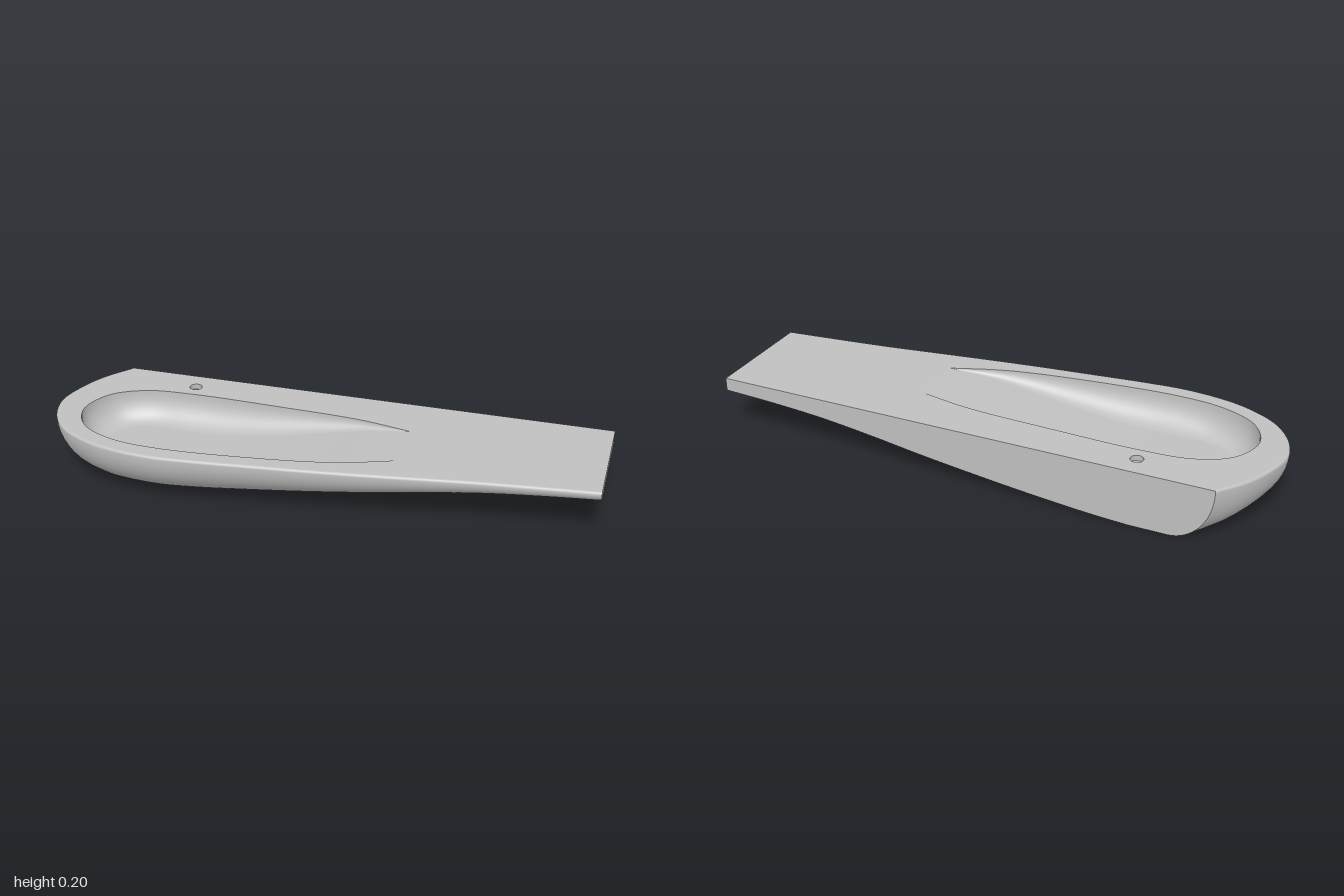
import * as THREE from 'three';

const TOP = 0.205, BACK = -0.315;
const V = (x, y, z) => new THREE.Vector3(x, y, z);

// Smooth height curves along x
const curve = (xs, ys) => {
  const c = new THREE.CubicInterpolant(xs, ys, 1);
  return (x) => c.evaluate(THREE.MathUtils.clamp(x, xs[0], xs[xs.length - 1]))[0];
};
const bottomY = curve([-0.7, -0.55, -0.4, -0.2, 0, 0.2, 0.4, 0.6, 0.8, 1],
  [0, 0.001, 0.01, 0.029, 0.052, 0.078, 0.108, 0.133, 0.148, 0.157]);
const scoopDepth = curve([-0.6, -0.4, -0.2, 0, 0.15, 0.3], [0.11, 0.107, 0.085, 0.052, 0.025, 0]);

// Smooth path through [x, z] points
const path = (pts, n) => new THREE.CatmullRomCurve3(
  pts.map(([x, z]) => V(x, 0, z)), false, 'centripetal').getPoints(n);

// Smooth sheet from rows of points
function sheet(rows) {
  const cols = rows[0].length, index = [];
  for (let i = 0; i < rows.length - 1; i++) {
    for (let j = 0; j < cols - 1; j++) {
      const a = i * cols + j, b = a + cols;
      index.push(a, a + 1, b, b, a + 1, b + 1);
    }
  }
  const g = new THREE.BufferGeometry().setFromPoints(rows.flat());
  g.setIndex(index);
  g.computeVertexNormals();
  return g;
}

export function createModel() {
  const group = new THREE.Group();
  const grey = new THREE.MeshStandardMaterial({ color: 0xc0c0c0, side: THREE.DoubleSide });
  grey.name = 'light grey';
  const add = (name, geometry) => {
    const m = new THREE.Mesh(geometry, grey);
    m.name = name;
    group.add(m);
    return m;
  };

  // Rounded side: outline from the back corner, round the nose, to the tail
  const outline = path([[-0.85, BACK], [-0.93, -0.21], [-0.98, -0.1], [-1, 0], [-0.97, 0.11],
    [-0.9, 0.2], [-0.8, 0.26], [-0.7, 0.292], [-0.55, 0.31], [-0.4, 0.302], [-0.2, 0.28],
    [0, 0.257], [0.2, 0.23], [0.4, 0.2], [0.6, 0.17], [0.8, 0.146], [1, 0.124]], 120);
  const F = 0.01;
  const hull = outline.map((p) => {
    const dir = p.x > -0.55 ? V(0, 0, -1)
      : p.z < 0 ? V(1, 0, 0) : V(-0.55 - p.x, 0, -p.z).normalize();
    const depth = TOP - bottomY(p.x);
    const r = p.z < 0 && p.x < -0.5 ? 0.24 - 0.09 * (p.z / BACK) : depth * 1.15;
    const section = [];
    for (let k = 0; k < 4; k++) { // small fillet on the upper edge
      const a = (k / 4) * Math.PI / 2;
      section.push([F * (1 - Math.sin(a)), F * (1 - Math.cos(a))]);
    }
    for (let k = 0; k <= 16; k++) { // large round to the underside
      const a = (k / 16) * Math.PI / 2;
      section.push([r * (1 - Math.cos(a)), F + (depth - F) * Math.sin(a)]);
    }
    return section.map(([u, v]) => V(p.x + dir.x * u, TOP - v, p.z + dir.z * u));
  });
  add('roundedSide', sheet(hull));

  // Underside, running straight back to the flat rear
  const inner = hull.map((s) => s[s.length - 1]);
  const backX = inner[0].x;
  const lower = inner.map((p) => V(Math.max(p.x, backX), p.y, BACK));
  add('underside', sheet(inner.map((p, i) => [p, lower[i]])));

  // Flat rear wall and tail end
  const rearEdge = [...hull[0], ...lower.filter((p) => p.x > backX)];
  add('rearWall', sheet(rearEdge.map((p) => [V(p.x, p.y, BACK), V(p.x, TOP, BACK)])));
  add('tailEnd', sheet(hull[hull.length - 1].map((p) => [V(p.x, p.y, BACK), p])));

  // Scooped hollow that fades out toward the tail
  const N = 80;
  const rim = path([[0.3, 0.1], [0.1, 0.17], [-0.2, 0.22], [-0.55, 0.245], [-0.72, 0.222],
    [-0.84, 0.155], [-0.89, 0.04], [-0.84, -0.085], [-0.72, -0.152], [-0.55, -0.17],
    [-0.2, -0.163], [0.1, -0.148], [0.3, -0.112]], N);
  const walls = rim.map((p) => {
    const dir = p.x > -0.55 ? V(0, 0, -Math.sign(p.z)) : V(-0.55 - p.x, 0, 0.04 - p.z).normalize();
    const d = scoopDepth(p.x), w = d * 0.8, col = [];
    for (let k = 0; k <= 10; k++) {
      const a = (k / 10) * Math.PI / 2, u = w * (1 - Math.cos(a));
      col.push(V(p.x + dir.x * u, TOP - d * Math.sin(a), p.z + dir.z * u));
    }
    return col;
  });
  add('scoopWall', sheet(walls));
  const foot = walls.map((c) => c[c.length - 1]);
  add('scoopFloor', sheet(foot.slice(0, N / 2 + 1).map((p, i) => [p, foot[N - i]])));

  // Flat top with openings for the scoop and the pin hole
  const flat = (p) => new THREE.Vector2(p.x, -p.z);
  const top = new THREE.Shape([...hull.map((s) => flat(s[0])), new THREE.Vector2(1, -BACK)]);
  top.holes.push(new THREE.Path(rim.map(flat)));
  const hx = -0.555, hz = -0.23, hr = 0.023;
  top.holes.push(new THREE.Path().absarc(hx, -hz, hr, 0, Math.PI * 2, true));
  add('topFace', new THREE.ShapeGeometry(top, 16).rotateX(-Math.PI / 2).translate(0, TOP, 0));

  // Small pin hole
  add('pinHoleWall', new THREE.CylinderGeometry(hr, hr, 0.02, 32, 1, true))
    .position.set(hx, TOP - 0.01, hz);
  add('pinHoleFloor', new THREE.CircleGeometry(hr, 32).rotateX(-Math.PI / 2))
    .position.set(hx, TOP - 0.02, hz);

  return group;
}
